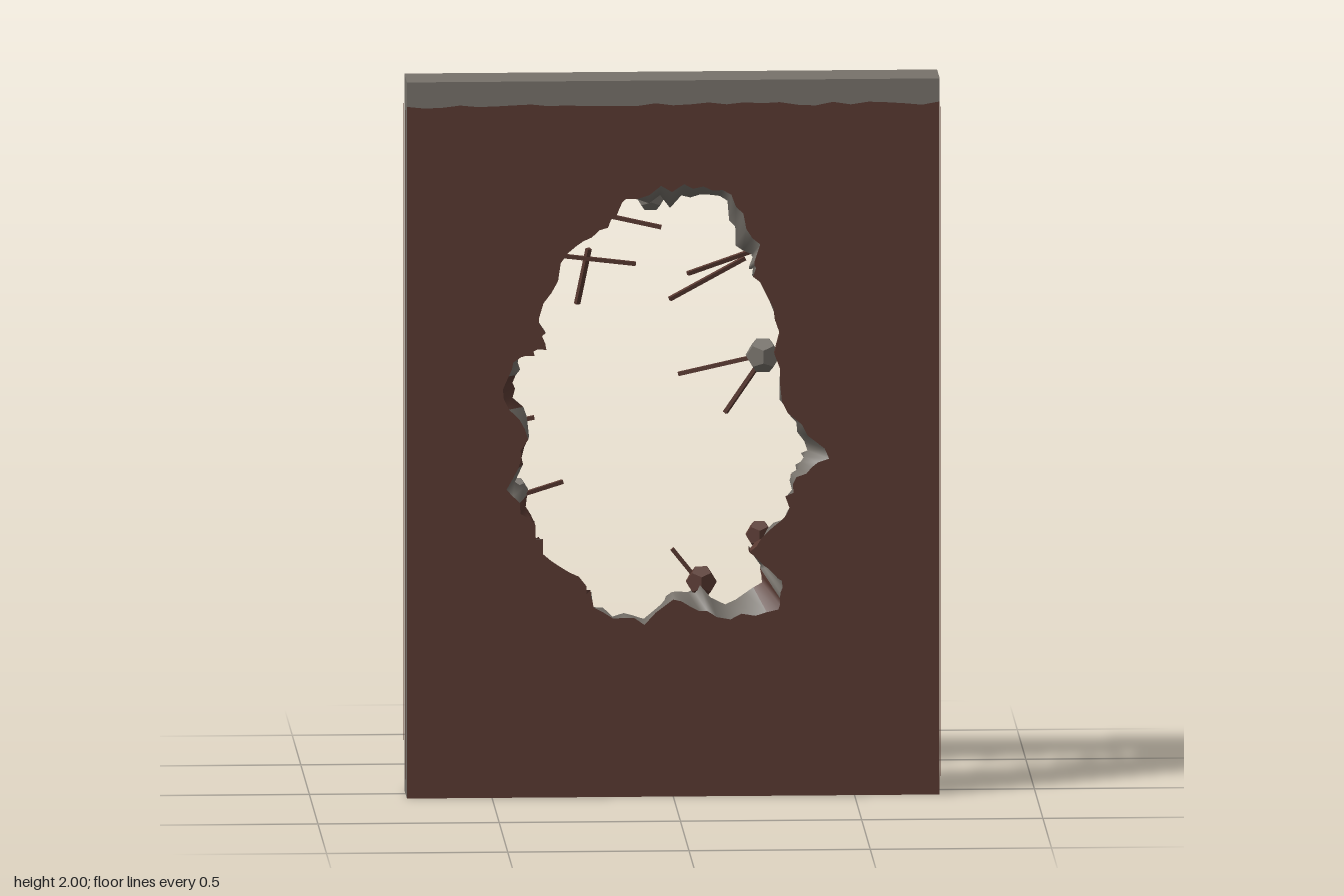
import * as THREE from 'three';

const brown = new THREE.MeshStandardMaterial({ color: 0x5a3a32, side: THREE.DoubleSide });
brown.name = 'brownPaint';
const grey = new THREE.MeshStandardMaterial({ color: 0x77726b, side: THREE.DoubleSide });
grey.name = 'bareConcrete';

const W = 0.735, H = 2, ZF = 0.083, ZB = -0.068;
const CX = -0.06, CY = 1.08;

// Main corners of the front edge of the hole, anticlockwise from the top
const EDGE = [
  [0.03, 1.71], [-0.13, 1.67], [-0.18, 1.59], [-0.29, 1.52], [-0.37, 1.34], [-0.35, 1.25], [-0.42, 1.23],
  [-0.47, 1.14], [-0.40, 1.0], [-0.46, 0.86], [-0.38, 0.76], [-0.36, 0.68], [-0.24, 0.59], [-0.22, 0.53],
  [-0.08, 0.48], [0, 0.55], [0.12, 0.50], [0.29, 0.52], [0.30, 0.60], [0.21, 0.68], [0.30, 0.77],
  [0.33, 0.87], [0.43, 0.94], [0.30, 1.10], [0.28, 1.33], [0.22, 1.45], [0.24, 1.54], [0.16, 1.68]
];
// Places where the bare core reaches further into the hole: x, y, reach
const LIPS = [
  [0.28, 0.55, 0.12], [0.10, 0.51, 0.08], [0.42, 0.95, 0.07], [0.22, 1.60, 0.08], [0, 1.70, 0.06],
  [-0.46, 0.86, 0.04], [-0.46, 1.10, 0.05]
];

let seed = 7;
function rand(a = 0, b = 1) {
  seed = (seed * 16807) % 2147483647;
  return a + (b - a) * (seed / 2147483647);
}

// Move a point away from the middle of the hole
function outward(p, d) {
  const dx = p[0] - CX, dy = p[1] - CY, l = Math.hypot(dx, dy);
  return [p[0] + dx / l * d, p[1] + dy / l * d];
}

const reach = p => Math.max(...LIPS.map(l => l[2] * Math.max(0, 1 - Math.hypot(p[0] - l[0], p[1] - l[1]) / 0.16)));

function add(group, name, geometry, material) {
  const mesh = new THREE.Mesh(geometry, material);
  mesh.name = name;
  group.add(mesh);
  return mesh;
}

const toShape = pts => new THREE.Shape(pts.map(p => new THREE.Vector2(p[0], p[1])));

// Wavy paint line running from -W to W around a height
function paintLine(y, wave) {
  const pts = [];
  for (let i = 0; i <= 30; i++) pts.push([-W + 2 * W * i / 30, y + rand(-wave, wave)]);
  return pts;
}

// Painted face with a hole and a bare strip along its top
function addFace(group, name, hole, y, wave, place) {
  const line = paintLine(y, wave);
  const paint = toShape([[-W, 0], [W, 0], ...[...line].reverse()]);
  paint.holes.push(new THREE.Path(hole.map(p => new THREE.Vector2(p[0], p[1]))));
  const strip = toShape([...line, [W, H], [-W, H]]);
  add(group, name, place(new THREE.ShapeGeometry(paint)), brown);
  add(group, name + 'TopStrip', place(new THREE.ShapeGeometry(strip)), grey);
}

// Broken wall of the hole: rings joined in loops, with clumps of painted fragments
function wallGeometry(rings) {
  const n = rings[0].length, pos = [], idx = [[], []];
  rings.forEach(r => r.forEach(p => pos.push(...p)));
  for (let k = 0; k < rings.length - 1; k++) {
    let clump = 0;
    for (let i = 0; i < n; i++) {
      if (rand() < 0.09) clump = 3;
      const j = (i + 1) % n, a = k * n + i, b = k * n + j;
      idx[clump-- > 0 ? 1 : 0].push(a, a + n, b, b, a + n, b + n);
    }
  }
  const g = new THREE.BufferGeometry();
  g.setAttribute('position', new THREE.Float32BufferAttribute(pos, 3));
  g.setIndex([...idx[0], ...idx[1]]);
  g.addGroup(0, idx[0].length, 0);
  g.addGroup(idx[0].length, idx[1].length, 1);
  g.computeVertexNormals();
  return g;
}

// Thin wooden sliver between two points
function addSplinter(group, a, b) {
  const from = new THREE.Vector3(...a), to = new THREE.Vector3(...b);
  const m = add(group, 'splinter', new THREE.BoxGeometry(0.014, 0.011, from.distanceTo(to)), brown);
  m.position.copy(from).lerp(to, 0.5);
  m.lookAt(to);
}

export function createModel() {
  const model = new THREE.Group();
  model.name = 'brokenWallPanel';

  // Subdivide the hole edge and roughen it
  const edge = [];
  EDGE.forEach((p, i) => {
    const q = EDGE[(i + 1) % EDGE.length];
    for (let s = 0; s < 5; s++) {
      const m = p.map((v, k) => v + (q[k] - v) * s / 5);
      edge.push(outward(m, s ? rand(-0.014, 0.014) : 0));
    }
  });
  const ring = (z, offset, dz) => edge.map(p => [...outward(p, offset(p)), z + rand(-dz, dz)]);
  const front = ring(ZF, () => 0, 0);
  const lip = ring(0.045, p => rand(-0.01, 0.012) - reach(p) * 0.8, 0.012);
  const core = ring(0.005, p => rand(0.005, 0.04) - reach(p) * 0.9, 0.014);
  const crater = ring(-0.035, () => rand(0.035, 0.085), 0.014);
  const back = ring(ZB, () => rand(0.08, 0.135), 0);
  add(model, 'holeWall', wallGeometry([front, lip, core, crater, back]), [grey, brown]);

  // Painted faces
  addFace(model, 'frontFace', front, 1.932, 0.006, g => g.translate(0, 0, ZF));
  addFace(model, 'backFace', back.map(p => [-p[0], p[1]]), 1.955, 0.014,
    g => g.rotateY(Math.PI).translate(0, 0, ZB));

  // Bare rim: top, bottom and sides
  const D = ZF - ZB, ZM = (ZF + ZB) / 2;
  for (const [name, y, turn] of [['topEdge', H, -1], ['bottomEdge', 0, 1]]) {
    add(model, name, new THREE.PlaneGeometry(2 * W, D).rotateX(turn * Math.PI / 2).translate(0, y, ZM), grey);
  }
  for (const side of [-1, 1]) {
    const place = (g, x) => g.rotateY(side * Math.PI / 2).translate(side * x, 0, 0);
    add(model, 'sideEdge', place(new THREE.PlaneGeometry(D, H).translate(-side * ZM, 1, 0), W), grey);
    // Ragged paint spilling over the front and back corners
    for (const [z, inner, y0] of [[ZF, 0.05, 0.05], [ZB, -0.034, 0.14]]) {
      const pts = [[-side * z, y0], [-side * z, 1.92]];
      for (let i = 24; i >= 0; i--) {
        pts.push([-side * (inner + rand(-0.004, 0.004)), y0 + (1.92 - y0) * i / 24]);
      }
      add(model, 'sidePaint', place(new THREE.ShapeGeometry(toShape(pts)), W + 0.002), brown);
    }
  }

  // Rubble lodged around the hole
  for (let i = 0; i < 44; i++) {
    const p = edge[Math.floor((i + rand(0, 0.8)) / 44 * edge.length)];
    const geometry = new THREE.DodecahedronGeometry(rand(0.016, 0.034), 0);
    const chunk = add(model, 'rubble', geometry, rand() < 0.5 ? brown : grey);
    chunk.position.set(...outward(p, rand(0.035, 0.1)), rand(-0.045, -0.01));
    chunk.scale.set(1, rand(0.7, 1.3), 0.8);
    chunk.rotation.z = rand(0, 3);
  }
  // Larger loose pieces
  for (const [x, y, r, material] of [
    [0.25, 1.22, 0.05, grey], [0.08, 0.59, 0.045, brown], [-0.43, 0.85, 0.035, grey],
    [-0.06, 1.67, 0.045, grey], [0.24, 0.72, 0.04, brown]
  ]) {
    const piece = add(model, 'loosePiece', new THREE.DodecahedronGeometry(r, 0), material);
    piece.position.set(x, y, 0.02);
    piece.scale.z = 0.7;
  }

  // Splinters reaching into the hole: root x, y, then tip x, y, z
  for (const [x0, y0, x1, y1, z1] of [
    [-0.30, 1.50, -0.10, 1.475, 0], [-0.23, 1.52, -0.26, 1.36, -0.03], [-0.17, 1.61, -0.03, 1.58, 0.02],
    [0.22, 1.51, 0.04, 1.46, 0.08], [0.20, 1.49, -0.01, 1.39, 0.085], [0.25, 1.22, 0.02, 1.16, -0.04],
    [0.25, 1.21, 0.15, 1.05, -0.05], [-0.46, 0.82, -0.30, 0.865, -0.02], [0.08, 0.58, 0, 0.68, 0.01],
    [0.43, 0.95, 0.33, 0.88, 0.02], [-0.48, 1.03, -0.38, 1.05, 0.01]
  ]) addSplinter(model, [x0, y0, 0.01], [x1, y1, z1]);

  // Splinters poking out around the back of the hole
  for (let i = 0; i < 9; i++) {
    const p = edge[Math.floor((i + rand(0.2, 0.8)) / 9 * edge.length)];
    addSplinter(model, [...outward(p, 0.03), -0.05], [...outward(p, rand(0.12, 0.17)), -0.078]);
  }

  return model;
}
